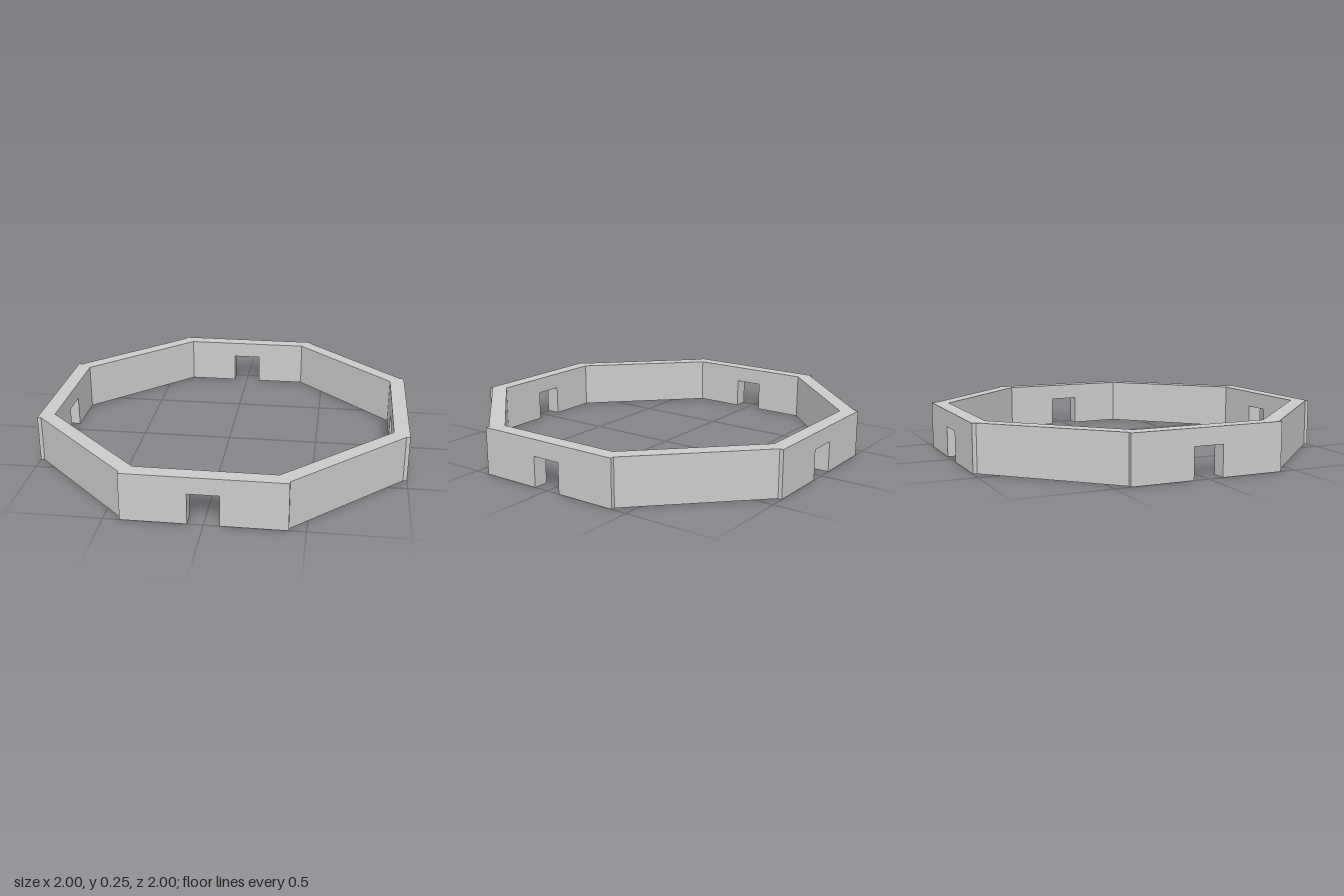
import * as THREE from 'three';

const HEIGHT = 0.255;
const OUTER = 1;        // outer face of the straight walls
const INNER = 0.917;    // inner face of the straight walls
const HALF_WALL = 0.415; // outer half length of a straight wall
const HALF_INNER = 0.36; // inner half length of a straight wall
const STEP = 0.979;     // where the diagonal wall meets the end of a straight wall
const NOTCH = 0.08;     // half width of the doorway notch
const NOTCH_TOP = 0.165;

export function createModel() {
  const model = new THREE.Group();
  model.name = 'octagonalRing';
  const material = new THREE.MeshStandardMaterial({ color: 0xcccccc, flatShading: true });

  // Plan of one corner: half a straight wall, a diagonal wall, half a straight wall
  const plan = new THREE.Shape([
    [NOTCH, INNER], [HALF_INNER, INNER], [INNER, HALF_INNER], [INNER, NOTCH],
    [OUTER, NOTCH], [OUTER, HALF_WALL], [STEP, HALF_WALL],
    [HALF_WALL, STEP], [HALF_WALL, OUTER], [NOTCH, OUTER],
  ].map(([x, y]) => new THREE.Vector2(x, y)));
  const corner = new THREE.ExtrudeGeometry(plan, { depth: HEIGHT, bevelEnabled: false });
  corner.rotateX(-Math.PI / 2);

  // Lintel bridging the notch in a straight wall
  const lintel = new THREE.BoxGeometry(2 * NOTCH, HEIGHT - NOTCH_TOP, OUTER - INNER);
  lintel.translate(0, (HEIGHT + NOTCH_TOP) / 2, (OUTER + INNER) / 2);

  const parts = { cornerWall: corner, notchLintel: lintel };
  for (let i = 0; i < 4; i++) {
    for (const [name, geometry] of Object.entries(parts)) {
      const mesh = new THREE.Mesh(geometry, material);
      mesh.name = `${name}${i + 1}`;
      mesh.rotation.y = i * Math.PI / 2;
      model.add(mesh);
    }
  }
  return model;
}
